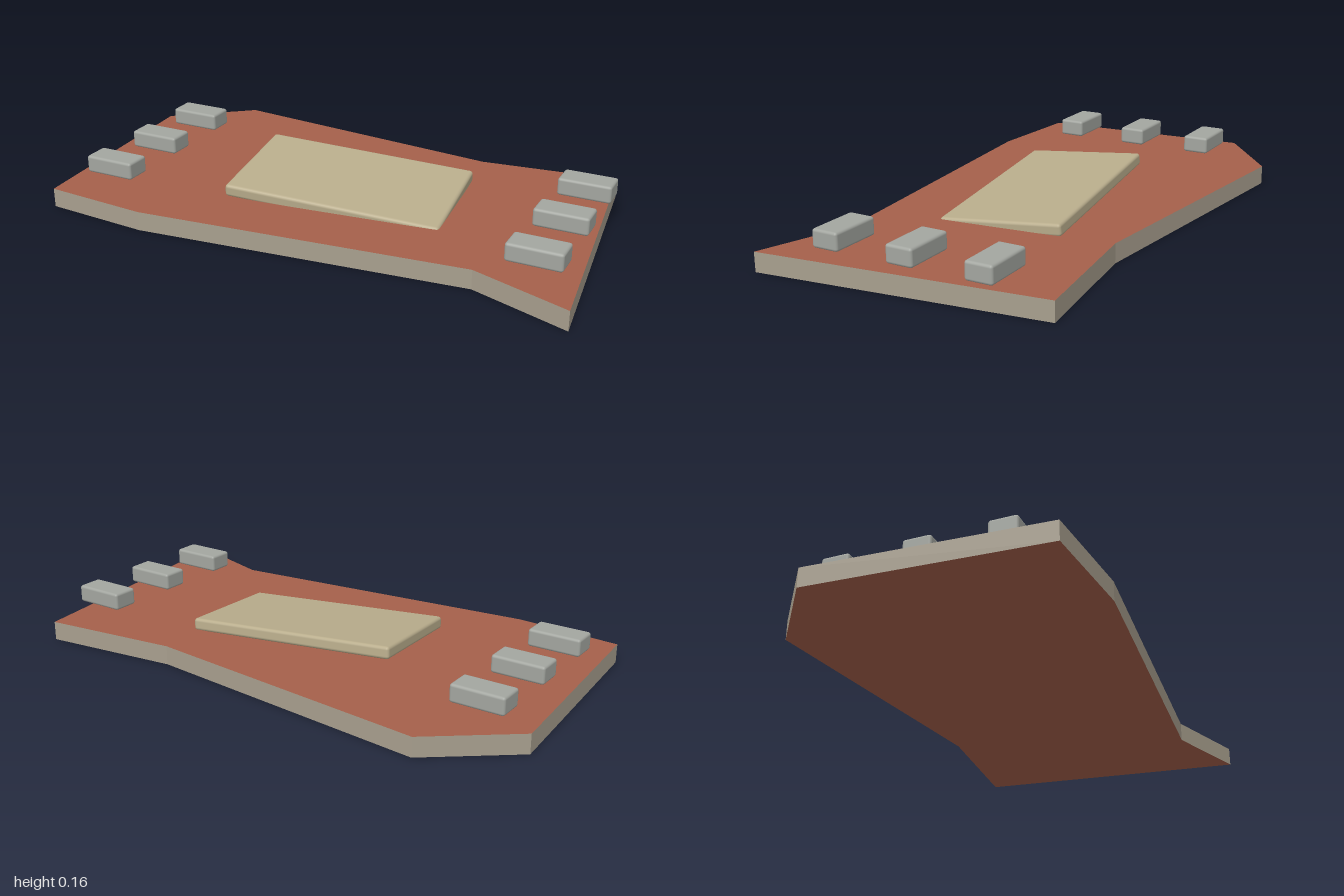
import * as THREE from 'three';
import { RoundedBoxGeometry } from 'three/addons/geometries/RoundedBoxGeometry.js';

const paint = (color) => new THREE.MeshStandardMaterial({ color });

export function createModel() {
  const model = new THREE.Group();
  const rust = paint(0xa5604a);
  const edge = paint(0xa89f8e);
  const cream = paint(0xb9ad8c);
  const metal = paint(0xa3a6a0);

  // Irregular slab: outline in x, z, with bare edges
  const outline = [
    [-1, -0.32], [-0.715, -0.545], [0.37, -0.43], [0.88, -0.49],
    [1, 0.54], [0.65, 0.425], [-0.55, 0.54], [-0.945, 0.51],
  ];
  const shape = new THREE.Shape(outline.map(([x, z]) => new THREE.Vector2(x, -z)));
  const slabGeometry = new THREE.ExtrudeGeometry(shape, { depth: 0.07, bevelEnabled: false });
  slabGeometry.rotateX(-Math.PI / 2);
  const slab = new THREE.Mesh(slabGeometry, [rust, edge]);
  slab.name = 'slab';
  model.add(slab);

  // Tilted plate, its front right corner sunk into the slab
  const plate = new THREE.Mesh(new RoundedBoxGeometry(0.8, 0.046, 0.455, 2, 0.012), cream);
  plate.name = 'plate';
  plate.position.set(0.027, 0.091, 0.024);
  plate.rotation.set(0.08, 0.1, -0.052, 'YXZ');
  model.add(plate);

  // Three blocks at each end, hovering just above the slab
  const blockGeometry = new RoundedBoxGeometry(0.195, 0.065, 0.1, 2, 0.01);
  for (const [side, x] of [['right', -0.803], ['left', 0.827]]) {
    [-0.258, 0.028, 0.314].forEach((z, i) => {
      const block = new THREE.Mesh(blockGeometry, metal);
      block.name = `${side}Block${i + 1}`;
      block.position.set(x, 0.123, z);
      model.add(block);
    });
  }
  return model;
}
